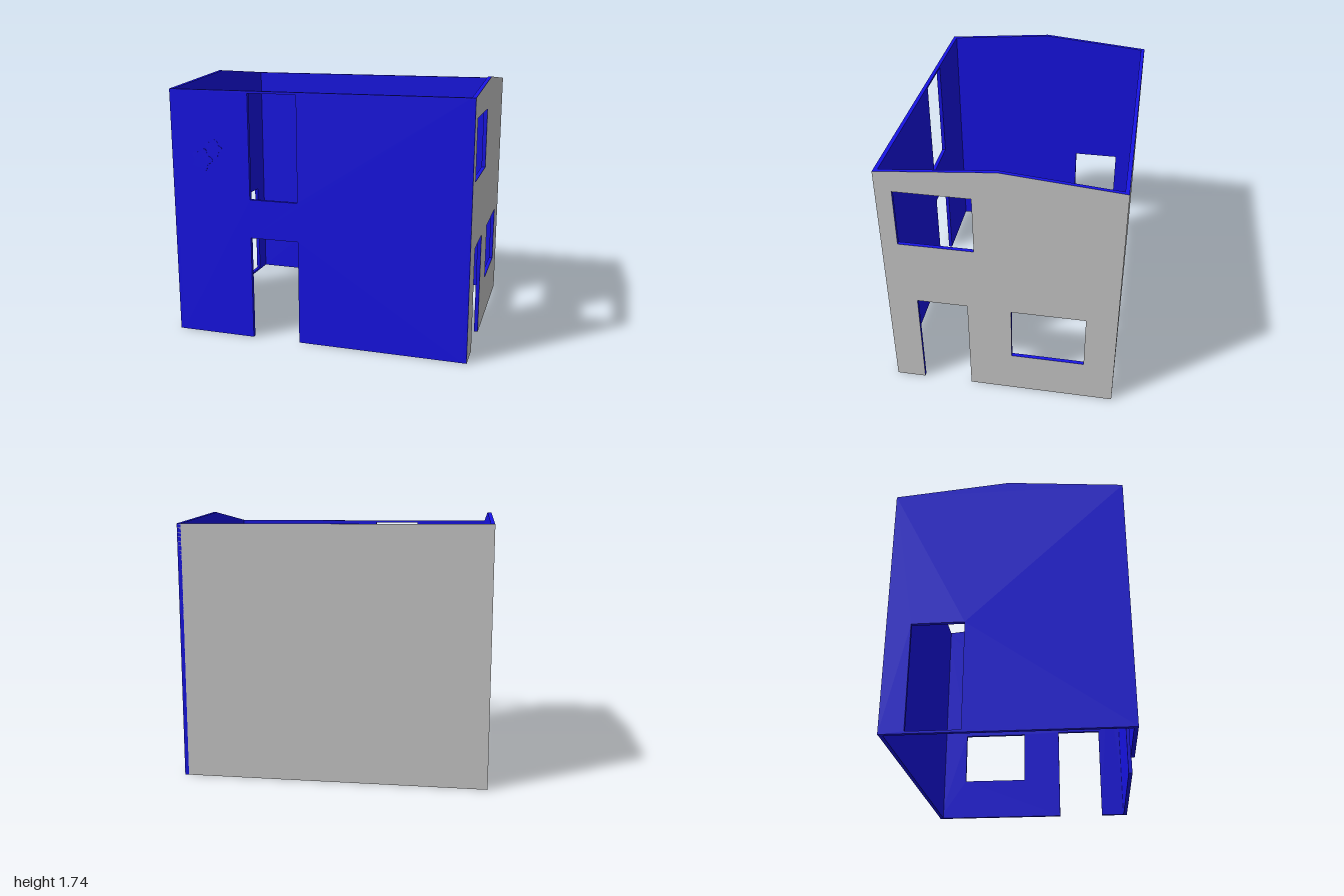
import * as THREE from 'three';

const W = 1, D = 0.745, H = 1.67, PEAK = 1.737, T = 0.026, SKIN = 0.001;

const points = list => list.map(([x, y]) => new THREE.Vector2(x, y));
const rect = (x0, x1, y0, y1) => [[x0, y0], [x1, y0], [x1, y1], [x0, y1]];

function makeShape(outline, holes = []) {
  const shape = new THREE.Shape(points(outline));
  for (const h of holes) shape.holes.push(new THREE.Path(points(h)));
  return shape;
}

export function createModel() {
  const model = new THREE.Group();
  model.name = 'houseShell';
  const blue = new THREE.MeshStandardMaterial({ color: 0x1713e6 });
  const grey = new THREE.MeshStandardMaterial({ color: 0xcccccc });

  function add(name, geometry, material, x, z, turn = 0) {
    const mesh = new THREE.Mesh(geometry, material);
    mesh.name = name;
    mesh.position.set(x, 0, z);
    mesh.rotation.y = turn;
    model.add(mesh);
  }
  const slab = (shape, depth) => new THREE.ExtrudeGeometry(shape, { depth, bevelEnabled: false });

  // Front wall with a doorway below a tall opening
  const inner = W - T;
  const front = makeShape(
    [[-inner, 0], [-0.45, 0], [-0.45, 0.7], [-0.12, 0.7], [-0.12, 0], [inner, 0], [inner, H], [-inner, H]],
    [rect(-0.45, -0.12, 0.96, 1.655)]);
  add('frontWall', slab(front, T), blue, 0, D - T);

  // Plain back wall with a grey outer face
  add('backWall', slab(makeShape(rect(-inner, inner, 0, H)), T - SKIN), blue, 0, -D + SKIN);
  add('backWallOuterFace', new THREE.ShapeGeometry(makeShape(rect(-W, W, 0, H))), grey, 0, -D, Math.PI);

  // Gable walls, drawn with the horizontal axis running towards the back
  const gableTop = [[D, 0], [D, H], [0, PEAK], [-D, H], [-D, 0]];
  const leftGable = makeShape(
    [...gableTop, [-0.55, 0], [-0.55, 0.7], [-0.22, 0.7], [-0.22, 0]],
    [rect(-0.64, -0.16, 1.15, 1.54), rect(0.065, 0.545, 0.3, 0.69)]);
  add('leftGable', slab(leftGable, T - SKIN), blue, W - T, 0, Math.PI / 2);
  add('leftGableOuterFace', new THREE.ShapeGeometry(leftGable), grey, W, 0, Math.PI / 2);

  // Right gable: one doorway above a thin sill
  const rightGable = makeShape(gableTop, [rect(0.26, 0.59, 0.015, 0.71)]);
  add('rightGable', slab(rightGable, T), blue, -W, 0, Math.PI / 2);

  // Small lobed reliefs on the front wall and inside the back wall
  function lobed(cx, cy, r, lobes) {
    const outline = [];
    for (let i = 0; i < 36; i++) {
      const a = (i / 36) * Math.PI * 2;
      const k = r * (0.84 + 0.16 * Math.cos(lobes * a));
      outline.push([cx + k * Math.cos(a), cy + k * Math.sin(a)]);
    }
    return slab(makeShape(outline), 0.004);
  }
  add('frontReliefLarge', lobed(-0.785, 1.21, 0.078, 5), blue, 0, D - 0.001);
  add('frontReliefSmall', lobed(-0.7, 1.285, 0.065, 5), blue, 0, D - 0.0015);
  add('backRelief', lobed(-0.195, 1.265, 0.032, 3), blue, 0, -D + T - 0.001);

  return model;
}
